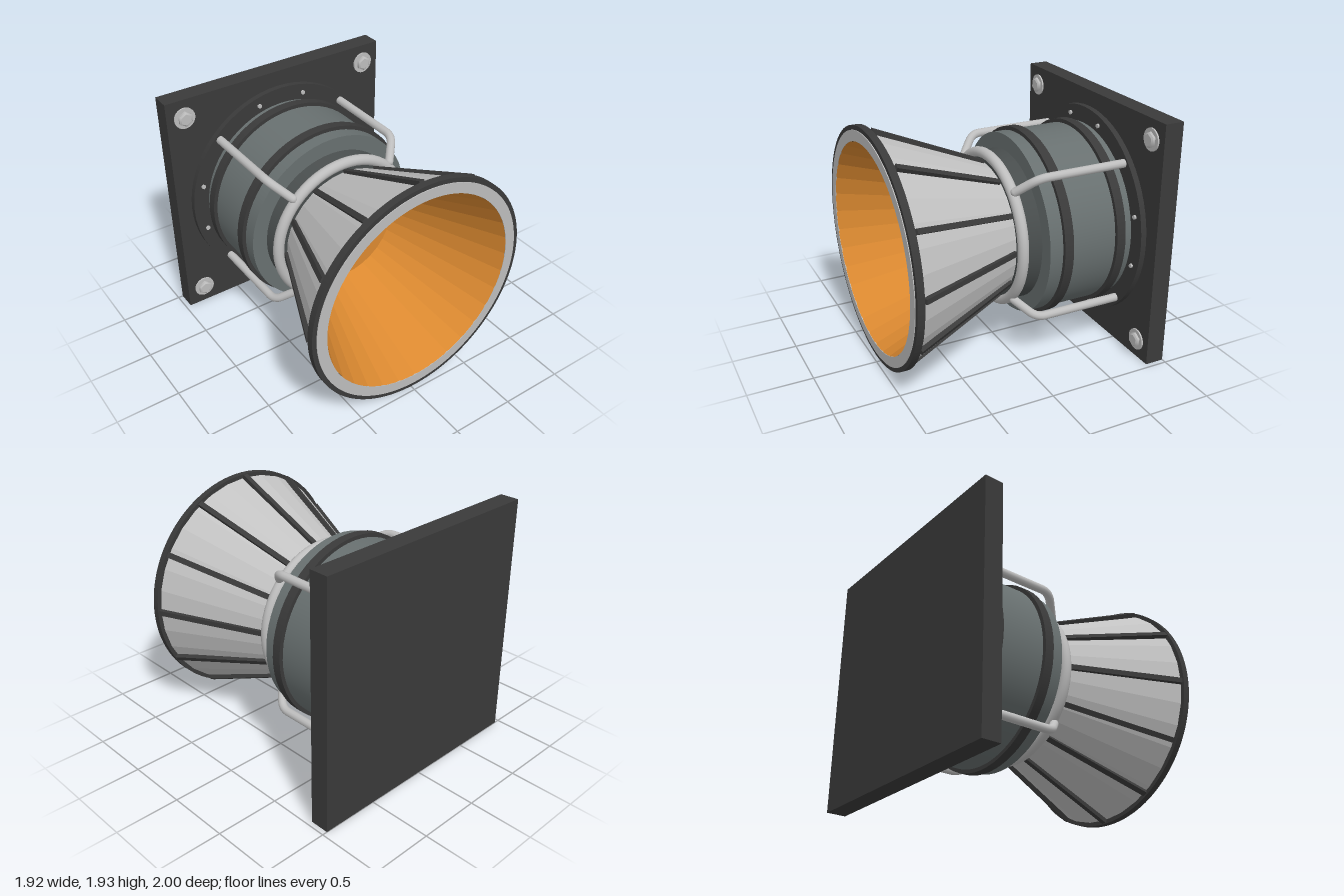
import * as THREE from 'three';

export function createModel() {
  const mat = (name, color, extra = {}) => {
    const m = new THREE.MeshStandardMaterial({ color, ...extra });
    m.name = name;
    return m;
  };
  const dark = mat('dark metal', 0x3a3a3a);
  const drumGrey = mat('blue grey drum', 0x687070);
  const neckGrey = mat('dark neck grey', 0x484d4d);
  const steel = mat('light steel', 0xbdbdbd);
  const bellGrey = mat('bell grey', 0xc2c2c2, { flatShading: true, side: THREE.DoubleSide });
  const orange = mat('orange lining', 0xdb8930, { flatShading: true, side: THREE.DoubleSide });

  const model = new THREE.Group();
  model.name = 'hornLamp';
  const body = new THREE.Group();
  body.name = 'body';
  body.position.y = 0.965;
  model.add(body);

  const add = (name, geometry, material, parent = body) => {
    const mesh = new THREE.Mesh(geometry, material);
    mesh.name = name;
    parent.add(mesh);
    return mesh;
  };
  // cylinder or cone along z, from z0 (radius r0) to z1 (radius r1)
  const tubeZ = (r0, r1, z0, z1, sides = 64, open = false) =>
    new THREE.CylinderGeometry(r1, r0, z1 - z0, sides, 1, open)
      .rotateX(Math.PI / 2).translate(0, 0, (z0 + z1) / 2);
  // flat ring with a hole, from z0 to z1
  const ringZ = (outer, inner, z0, z1) => {
    const shape = new THREE.Shape().absarc(0, 0, outer, 0, Math.PI * 2, false);
    shape.holes.push(new THREE.Path().absarc(0, 0, inner, 0, Math.PI * 2, true));
    return new THREE.ExtrudeGeometry(shape, { depth: z1 - z0, bevelEnabled: false, curveSegments: 64 })
      .translate(0, 0, z0);
  };

  // wall plate and mounting flange
  add('wallPlate', new THREE.BoxGeometry(1.92, 1.93, 0.15).translate(0, 0, -0.925), dark);
  add('flange', tubeZ(0.84, 0.84, -0.86, -0.805), dark);

  // drum with its two bands, and the neck
  add('drum', tubeZ(0.71, 0.71, -0.81, -0.115), drumGrey);
  add('rearBand', tubeZ(0.74, 0.74, -0.737, -0.665), dark);
  add('frontBand', tubeZ(0.74, 0.74, -0.293, -0.22), dark);
  add('neck', tubeZ(0.59, 0.55, -0.12, 0.06), neckGrey);
  add('collarRing', new THREE.TorusGeometry(0.578, 0.042, 16, 64).translate(0, 0, 0.035), steel);

  // bell: outer cone, lining, throat disc, rim and lip
  add('bell', tubeZ(0.52, 0.89, 0.06, 0.95, 32, true), bellGrey);
  add('bellLining', tubeZ(0.43, 0.8, 0.085, 0.998, 32, true), orange);
  add('throat', new THREE.CircleGeometry(0.435, 32).translate(0, 0, 0.086), orange);
  add('rim', ringZ(0.915, 0.8, 0.94, 0.994), dark);
  add('rimLip', ringZ(0.88, 0.798, 0.992, 1.0), steel);

  // twelve ribs along the bell
  const slope = Math.atan2(0.37, 0.86);
  for (let i = 0; i < 12; i++) {
    const pivot = new THREE.Group();
    pivot.name = 'ribPivot';
    pivot.rotation.z = i * Math.PI / 6;
    body.add(pivot);
    const rib = add('rib', new THREE.BoxGeometry(0.04, 0.035, 0.93), dark, pivot);
    rib.position.set(0, 0.716, 0.505);
    rib.rotation.x = -slope;
  }

  // four bent support rods and four corner bolts
  for (const sx of [-1, 1]) {
    for (const sy of [-1, 1]) {
      const at = (r, z) => new THREE.Vector3(sx * r, sy * r, z);
      const path = new THREE.CurvePath();
      path.add(new THREE.LineCurve3(at(0.56, -0.81), at(0.56, -0.17)));
      path.add(new THREE.QuadraticBezierCurve3(at(0.56, -0.17), at(0.56, -0.1), at(0.52, -0.055)));
      path.add(new THREE.LineCurve3(at(0.52, -0.055), at(0.437, 0.035)));
      add('supportRod', new THREE.TubeGeometry(path, 40, 0.033, 12), steel);
      add('rodEnd', new THREE.SphereGeometry(0.033, 12, 8), steel).position.copy(at(0.437, 0.035));

      const bolt = new THREE.Group();
      bolt.name = 'cornerBolt';
      bolt.position.set(sx * 0.815, sy * 0.815, 0);
      body.add(bolt);
      add('washer', tubeZ(0.085, 0.085, -0.855, -0.838, 32), steel, bolt);
      const hex = tubeZ(0.06, 0.06, -0.84, -0.82, 6);
      add('boltHead', hex.toNonIndexed(), steel, bolt);
      add('boltTop', tubeZ(0.06, 0.046, -0.82, -0.81, 6).toNonIndexed(), steel, bolt);
    }
  }

  // small flange screws
  for (const deg of [15, 75, 105, 165, 195, 255, 285, 345]) {
    const a = deg * Math.PI / 180;
    add('flangeScrew', tubeZ(0.018, 0.018, -0.81, -0.79, 6), steel)
      .position.set(Math.cos(a) * 0.77, Math.sin(a) * 0.77, 0);
  }

  return model;
}
